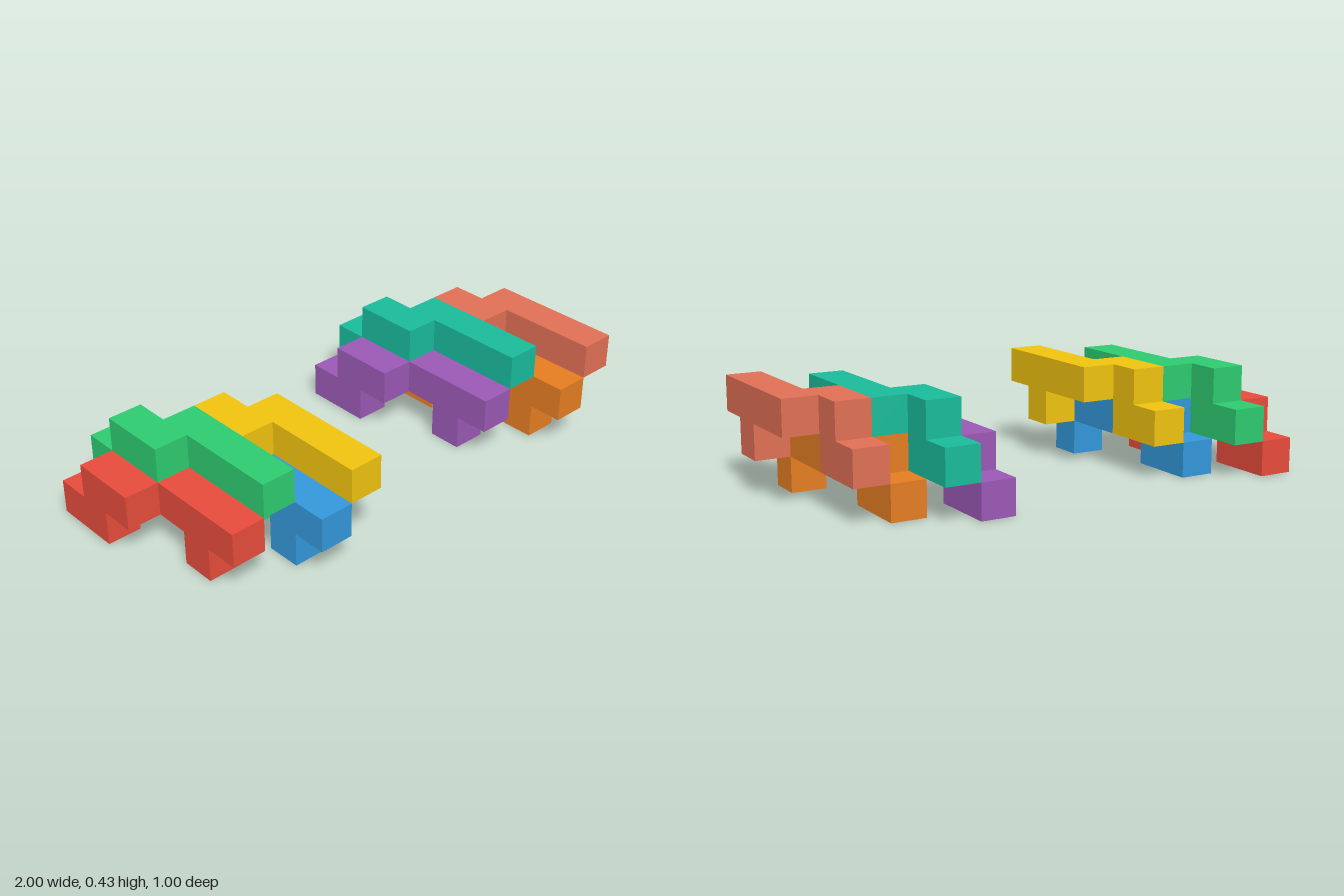
import * as THREE from 'three';
import { mergeGeometries } from 'three/addons/utils/BufferGeometryUtils.js';

const U = 1 / 7; // edge of one cube cell

// One-cell-thick slab: a (z, y) outline extruded along +x from the given column
function slab(column, outline) {
  const shape = new THREE.Shape(outline.map(([z, y]) => new THREE.Vector2(z, y)));
  return new THREE.ExtrudeGeometry(shape, { depth: 1, bevelEnabled: false })
    .rotateY(-Math.PI / 2)
    .translate(column + 1, 0, 0);
}

// The interlocking piece: a stepped back bar beside a long front bar with one foot
function pieceGeometry() {
  const backBar = slab(0, [[0, 0], [2, 0], [2, 1], [3, 1], [3, 2], [1, 2], [1, 1], [0, 1]]);
  const frontBar = slab(1, [[2, 1], [4, 1], [4, 0], [5, 0], [5, 1], [6, 1], [6, 2], [2, 2]]);
  return mergeGeometries([backBar, frontBar]).scale(U, U, U);
}

export function createModel() {
  const model = new THREE.Group();
  const geometry = pieceGeometry();

  // Cell offsets of the four pieces in each cluster
  const slots = [
    ['lowerOuterPiece', 0, 0, 0],
    ['upperOuterPiece', 1, 1, 0],
    ['lowerInnerPiece', 2, 0, 1],
    ['upperInnerPiece', 3, 1, 1],
  ];
  const clusters = [
    ['rightCluster', -7, [0xe74c3c, 0x2ecc71, 0x3498db, 0xf1c40f]],
    ['leftCluster', 2, [0x9b59b6, 0x1abc9c, 0xe67e22, 0xe17055]],
  ];

  for (const [clusterName, startX, colors] of clusters) {
    const cluster = new THREE.Group();
    cluster.name = clusterName;
    cluster.position.set(startX * U, 0, -3.5 * U);
    slots.forEach(([name, x, y, z], i) => {
      const piece = new THREE.Mesh(geometry, new THREE.MeshStandardMaterial({ color: colors[i] }));
      piece.name = name;
      piece.position.set(x * U, y * U, z * U);
      cluster.add(piece);
    });
    model.add(cluster);
  }
  return model;
}
